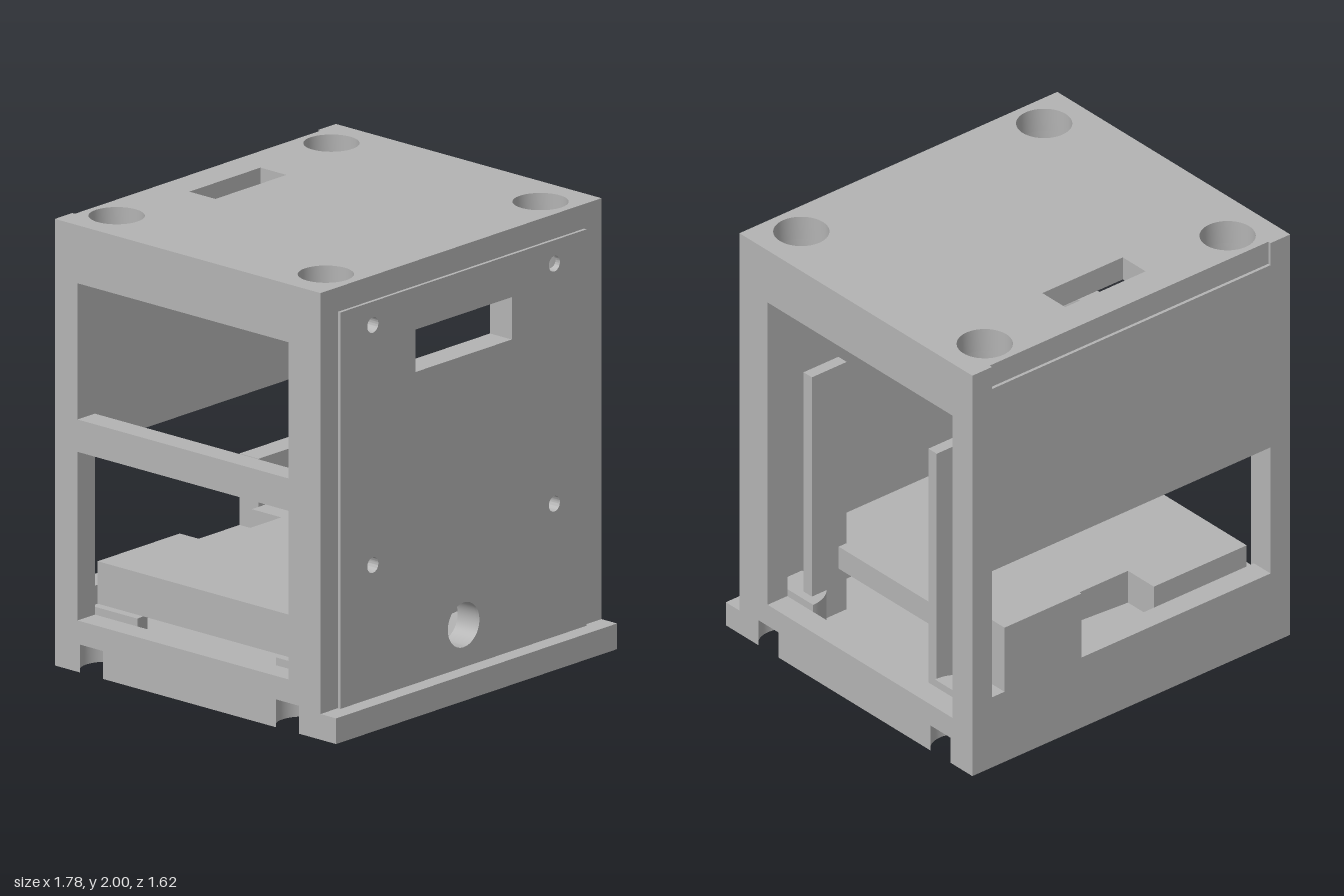
import * as THREE from 'three';
import { toCreasedNormals } from 'three/addons/utils/BufferGeometryUtils.js';

const grey = new THREE.MeshStandardMaterial({ color: 0xb3b3b3 });
grey.name = 'grey';

const poly = (pts, Type = THREE.Shape) => new Type(pts.map(([a, b]) => new THREE.Vector2(a, b)));
const rect = (a0, a1, b0, b1, Type) => poly([[a0, b0], [a1, b0], [a1, b1], [a0, b1]], Type);
const rectHole = (...r) => rect(...r, THREE.Path);
const circleHole = (a, b, r) => new THREE.Path().absarc(a, b, r, 0, Math.PI * 2, true);

export function createModel() {
  const model = new THREE.Group();

  function add(name, geometry) {
    const mesh = new THREE.Mesh(geometry, grey);
    mesh.name = name;
    model.add(mesh);
    return mesh;
  }
  function box(name, x0, x1, y0, y1, z0, z1) {
    add(name, new THREE.BoxGeometry(x1 - x0, y1 - y0, z1 - z0))
      .position.set((x0 + x1) / 2, (y0 + y1) / 2, (z0 + z1) / 2);
  }
  function extrude(shape, holes, depth) {
    shape.holes.push(...holes);
    return new THREE.ExtrudeGeometry(shape, { depth, bevelEnabled: false, curveSegments: 32 });
  }
  const crease = (g) => toCreasedNormals(g, 0.5);
  // Slab drawn in (x, y), spanning z0..z1
  const upright = (name, shape, holes, z0, z1) =>
    add(name, crease(extrude(shape, holes, z1 - z0).translate(0, 0, z0)));
  // Slab drawn in (x, -z), spanning y0..y1
  const level = (name, shape, holes, y0, y1) =>
    add(name, crease(extrude(shape, holes, y1 - y0).rotateX(-Math.PI / 2).translate(0, y0, 0)));
  // Slab drawn in (z, y), spanning x0..x1
  const side = (name, shape, holes, x0, x1) =>
    add(name, crease(extrude(shape, holes, x1 - x0).rotateY(-Math.PI / 2).translate(x1, 0, 0)));

  const W = 0.89, IN = 0.78, FRONT = 0.72, BACK = -0.81, WALL_TOP = 1.83;

  // Floor with foot recesses that break through both side edges
  const footZ = [0.53, -0.6], footX = 0.79, footR = 0.12;
  const cut = Math.acos((W - footX) / footR);
  const floor = new THREE.Shape();
  floor.moveTo(-W, -FRONT);
  floor.lineTo(W, -FRONT);
  for (const z of footZ) floor.absarc(footX, -z, footR, -cut, cut, true);
  floor.lineTo(W, -BACK);
  floor.lineTo(-W, -BACK);
  for (const z of [...footZ].reverse()) floor.absarc(-footX, -z, footR, Math.PI - cut, Math.PI + cut, true);
  level('floor', floor, [rectHole(0.32, 0.5, 0.5, 0.68)], 0, 0.125);
  box('frontLip', -W, W, 0, 0.115, FRONT, 0.81);

  // Half-round bosses above the foot recesses
  for (const z of footZ) for (const s of [1, -1]) {
    const half = new THREE.Shape();
    const start = s > 0 ? Math.PI / 2 : -Math.PI / 2;
    half.absarc(s * IN, -z, 0.165, start, start + Math.PI, false);
    level('footBoss', half, [], 0.125, 0.265);
  }

  // Front wall and its raised panel share the same holes
  const frontHoles = () => [
    rectHole(-0.305, 0.305, 1.51, 1.7),
    circleHole(0, 0.305, 0.1),
    ...[-0.575, 0.575].flatMap((x) => [0.71, 1.785].map((y) => circleHole(x, y, 0.035))),
  ];
  upright('frontWall', rect(-W, W, 0.125, WALL_TOP), frontHoles(), 0.61, FRONT);
  upright('frontPanel', rect(-IN, IN, 0.115, 1.89), frontHoles(), FRONT, 0.735);

  // Back wall with a wide window and an upright tab standing in it
  upright('backWall', rect(-W, W, 0.125, WALL_TOP), [poly([
    [-IN, 0.35], [0.28, 0.35], [0.28, 0.67], [0.71, 0.67], [0.71, 0.35],
    [IN, 0.35], [IN, 0.98], [-IN, 0.98]], THREE.Path)], BACK, -0.7);

  // Side walls: one tall opening on the left, a crossbar on the right
  side('leftWall', rect(-0.7, 0.61, 0.125, WALL_TOP), [rectHole(-0.68, 0.535, 0.23, 1.74)], IN, W);
  side('rightWall', rect(-0.7, 0.61, 0.125, WALL_TOP),
    [rectHole(-0.68, 0.535, 0.23, 0.985), rectHole(-0.68, 0.535, 1.13, 1.74)], -W, -IN);
  // Column faces that finish the front edges of the side openings
  for (const s of [1, -1]) box('frontColumn', s * 0.835 - 0.055, s * 0.835 + 0.055, 0.23, 1.74, 0.535, 0.61);

  // Top frame: corner sockets wrapped by round bosses
  const sockets = [[0.68, 0.645], [-0.68, 0.645], [-0.68, -0.56], [0.68, -0.56]];
  const R = 0.165;
  const socketHoles = () => sockets.map(([x, y]) => circleHole(x, y, 0.12));
  const cavity = new THREE.Path();
  sockets.forEach(([x, y], i) => {
    const sx = Math.sign(x), sy = Math.sign(y);
    const offX = IN - 0.68, offY = 0.05;
    const onX = Math.atan2(-sy * Math.sqrt(R * R - offX * offX), sx * offX);
    const onY = Math.atan2(sy * offY, -sx * Math.sqrt(R * R - offY * offY));
    cavity.absarc(x, y, R, i % 2 ? onY : onX, i % 2 ? onX : onY, true);
  });
  level('topFrame', rect(-W, W, -FRONT, 0.795), [cavity, ...socketHoles()], WALL_TOP, 1.89);
  box('backTopEdge', -W, W, WALL_TOP, 1.89, BACK, -0.795);

  // Top plate with a shallow rebate along its back edge
  level('topPlate', poly([[-W, -FRONT], [W, -FRONT], [W, 0.81], [IN, 0.81], [IN, 0.795],
    [-IN, 0.795], [-IN, 0.81], [-W, 0.81]]),
  [...socketHoles(), rectHole(-0.225, 0.225, 0.49, 0.64)], 1.89, 2);
  for (const [x, y] of sockets) {
    add('socketBase', new THREE.CylinderGeometry(R, R, 0.085, 40)).position.set(x, 1.7875, -y);
  }

  // Inner shelf with a sloping underside and a notch in its back edge
  const shelfProfile = (x0, x1) => {
    const under = (x) => 0.265 + 0.08 * (x + 0.74) / 1.33;
    return poly([[x0, under(x0)], [x1, under(x1)], [x1, 0.455], [x0, 0.455]]);
  };
  upright('shelf', shelfProfile(-0.74, 0.59), [], -0.53, 0.61);
  upright('shelfBackRight', shelfProfile(-0.74, -0.22), [], -0.7, -0.53);
  upright('shelfBackLeft', shelfProfile(0.236, 0.59), [], -0.7, -0.53);

  // Two flat posts standing inside the left opening
  for (const z of [0.42, -0.4]) box('post', 0.545, 0.74, 0.125, 1.36, z, z + 0.055);

  return model;
}
